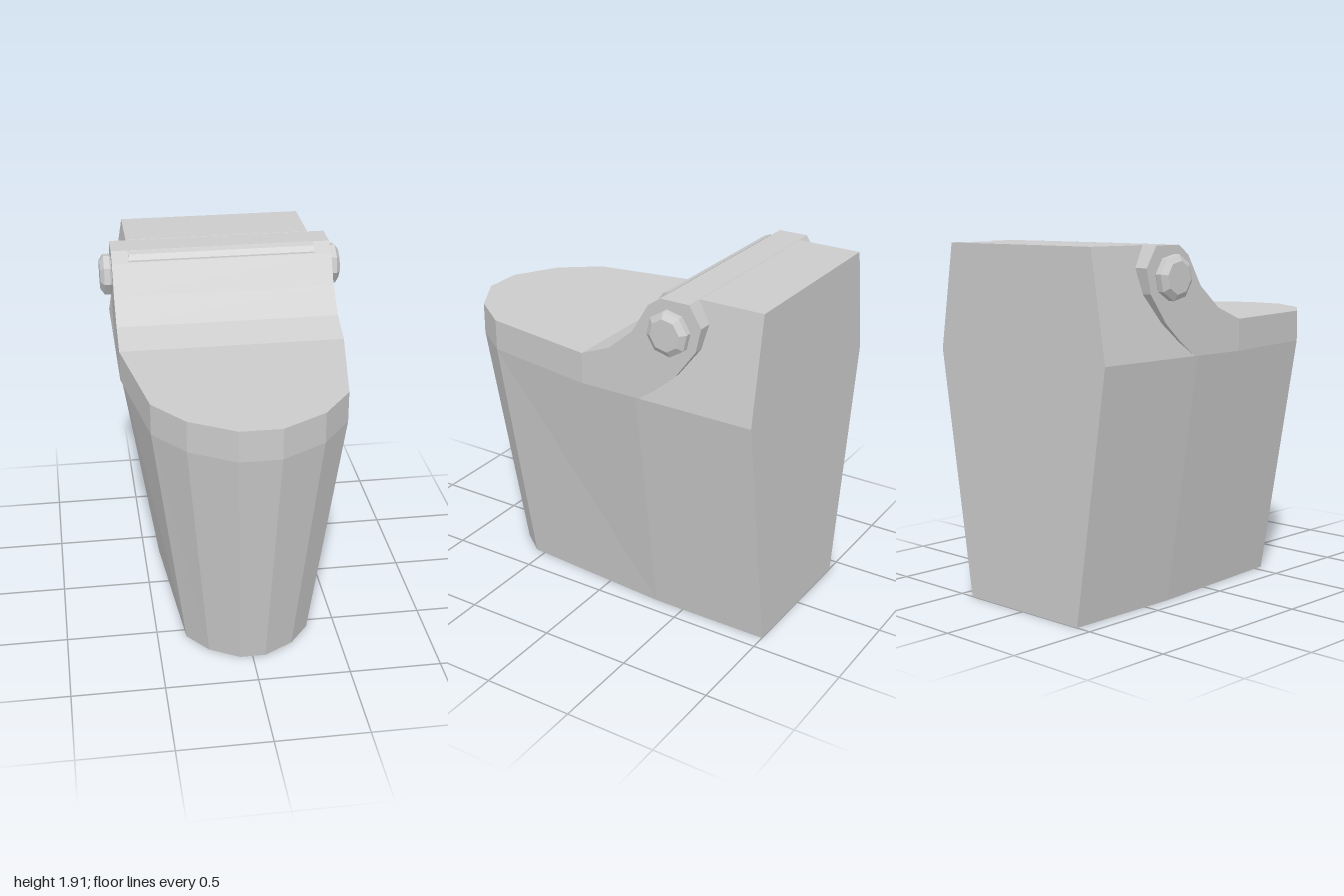
import * as THREE from 'three';

const material = new THREE.MeshStandardMaterial({ color: 0xcccccc, flatShading: true });

// Completes a half outline of [x, z] points, running back to front on the +x side
const mirrored = (half) => [...half, ...half.map(([x, z]) => [-x, z]).reverse()];

// Closed solid between two outlines with the same number of points
function loft(lowHalf, lowY, highHalf, highY) {
  const low = mirrored(lowHalf).map(([x, z]) => [x, lowY, z]);
  const high = mirrored(highHalf).map(([x, z]) => [x, highY, z]);
  const n = low.length;
  const pos = [];
  const tri = (a, b, c) => pos.push(...a, ...b, ...c);
  for (let i = 0; i < n; i++) {
    const j = (i + 1) % n;
    tri(low[i], high[i], high[j]);
    tri(low[i], high[j], low[j]);
    if (i > 0 && i < n - 1) {
      tri(low[0], low[i], low[i + 1]);
      tri(high[0], high[i + 1], high[i]);
    }
  }
  const geometry = new THREE.BufferGeometry();
  geometry.setAttribute('position', new THREE.Float32BufferAttribute(pos, 3));
  geometry.computeVertexNormals();
  return geometry;
}

// Extrudes a side profile of [z, y] points across x
function acrossX(points, halfWidth) {
  const shape = new THREE.Shape(points.map(([z, y]) => new THREE.Vector2(z, y)));
  return new THREE.ExtrudeGeometry(shape, { depth: 2 * halfWidth, bevelEnabled: false })
    .rotateY(-Math.PI / 2)
    .translate(halfWidth, 0, 0);
}

function add(parent, name, geometry) {
  const mesh = new THREE.Mesh(geometry, material);
  mesh.name = name;
  parent.add(mesh);
  return mesh;
}

export function createModel() {
  const model = new THREE.Group();
  model.name = 'liddedBin';

  // Tapered bin, rounded at the front
  add(model, 'body', loft(
    [[0.41, -1], [0.41, -0.33], [0.34, 0.56], [0.23, 0.7], [0.07, 0.79]], 0,
    [[0.62, -1], [0.62, -0.33], [0.51, 0.65], [0.35, 0.86], [0.11, 1]], 1.34));

  // Raised back that narrows towards the top
  add(model, 'backHousing', loft(
    [[0.62, -1], [0.62, -0.35]], 1.34,
    [[0.525, -1], [0.525, -0.645]], 1.91));

  // Lid: flat front plate and a rear part that sweeps up to the hinge
  const lid = new THREE.Group();
  lid.name = 'lid';
  model.add(lid);
  const plate = [[0.62, 0], [0.51, 0.65], [0.35, 0.86], [0.11, 1]];
  add(lid, 'lidPlate', loft(plate, 1.34, plate, 1.51));
  add(lid, 'lidHingeArm', acrossX([
    [0, 1.34], [0, 1.51], [-0.17, 1.58], [-0.31, 1.7], [-0.405, 1.86], [-0.475, 1.91],
    [-0.64, 1.91], [-0.71, 1.8], [-0.68, 1.67], [-0.57, 1.52], [-0.46, 1.42], [-0.35, 1.34],
  ], 0.62));

  // Slim raised strip along the bevel in front of the hinge
  add(lid, 'lidStrip', acrossX([
    [-0.41, 1.86], [-0.412, 1.872], [-0.435, 1.9], [-0.47, 1.91], [-0.47, 1.89],
  ], 0.525));

  // Eight-sided hinge caps on both sides
  const capProfile = [[0, 0], [0.105, 0], [0.118, 0.015], [0.118, 0.048], [0.085, 0.07], [0, 0.07]]
    .map(([r, h]) => new THREE.Vector2(r, h));
  for (const side of [1, -1]) {
    const geometry = new THREE.LatheGeometry(capProfile, 8, 0.17 * side).rotateZ(-side * Math.PI / 2);
    const cap = add(model, side > 0 ? 'leftHingeCap' : 'rightHingeCap', geometry);
    cap.position.set(side * 0.615, 1.75, -0.54);
  }
  return model;
}
